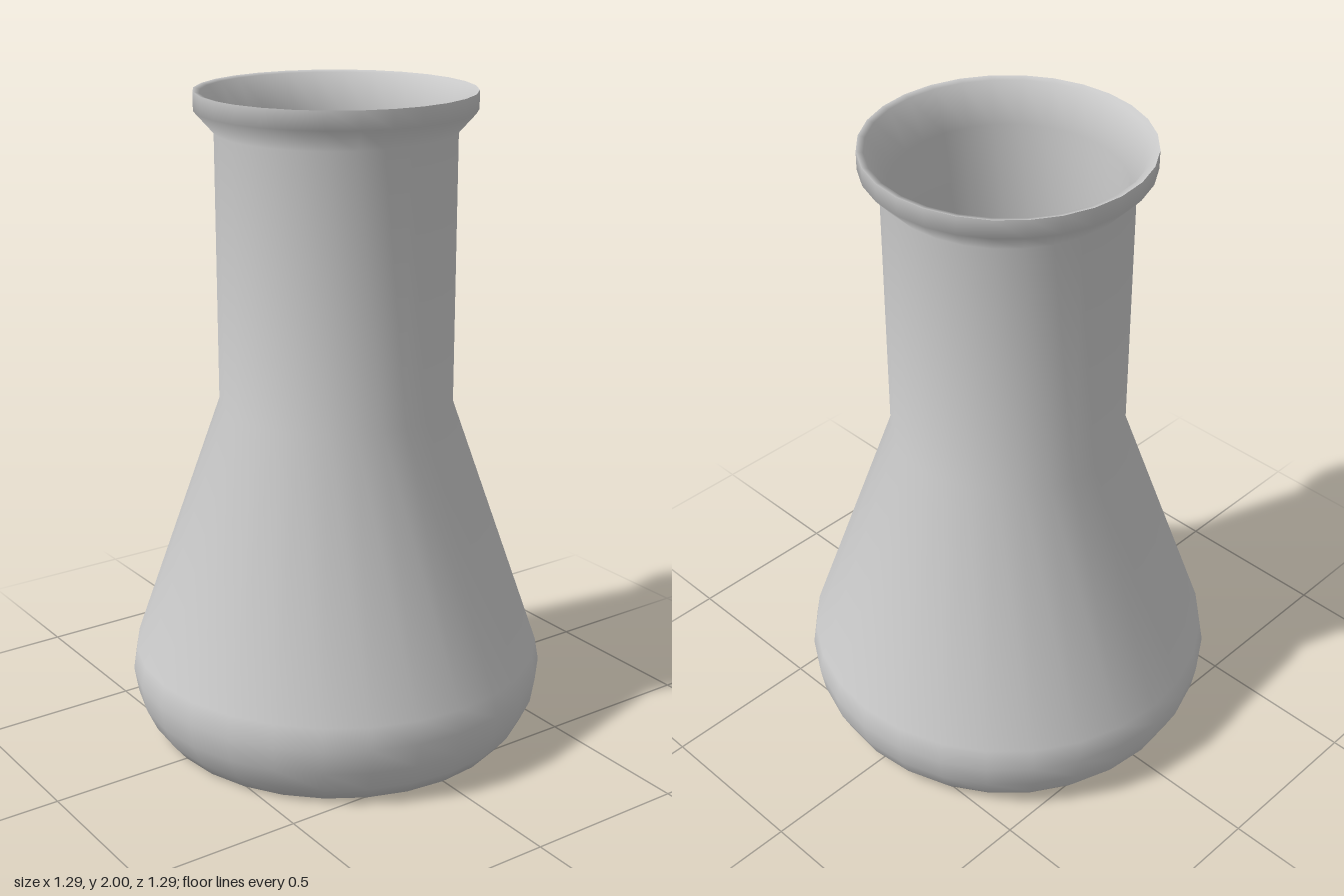
import * as THREE from 'three';

const SIDES = 28;

export function createModel() {
  const flask = new THREE.Group();
  flask.name = 'conicalFlask';
  const material = new THREE.MeshStandardMaterial({ color: 0xcccccc });

  const add = (name, geometry) => {
    const mesh = new THREE.Mesh(geometry, material);
    mesh.name = name;
    flask.add(mesh);
    return mesh;
  };
  const lathe = (points) =>
    new THREE.LatheGeometry(points.map(([r, y]) => new THREE.Vector2(r, y)), SIDES);

  // Outer wall: underside, rounded heel, cone, straight neck and flared lip
  add('outerWall', lathe([
    [0.134, 0], [0.56, 0], [0.60, 0.05], [0.632, 0.12], [0.645, 0.2], [0.633, 0.27],
    [0.357, 1.06], [0.357, 1.88], [0.415, 1.945], [0.415, 2],
  ]));

  // Inner wall, running from the lip down to the floor
  add('innerWall', lathe([
    [0.415, 2], [0.395, 1.995], [0.34, 1.88], [0.34, 1.06], [0.616, 0.27],
    [0.628, 0.2], [0.615, 0.12], [0.585, 0.06], [0.545, 0.02],
  ]));

  // Flat floor inside
  const floor = add('floor', new THREE.CircleGeometry(0.545, SIDES));
  floor.rotation.x = -Math.PI / 2;
  floor.position.y = 0.02;

  // Small disc closing the centre of the underside
  const cap = add('undersideCap', new THREE.CircleGeometry(0.134, SIDES));
  cap.rotation.x = Math.PI / 2;

  return flask;
}
